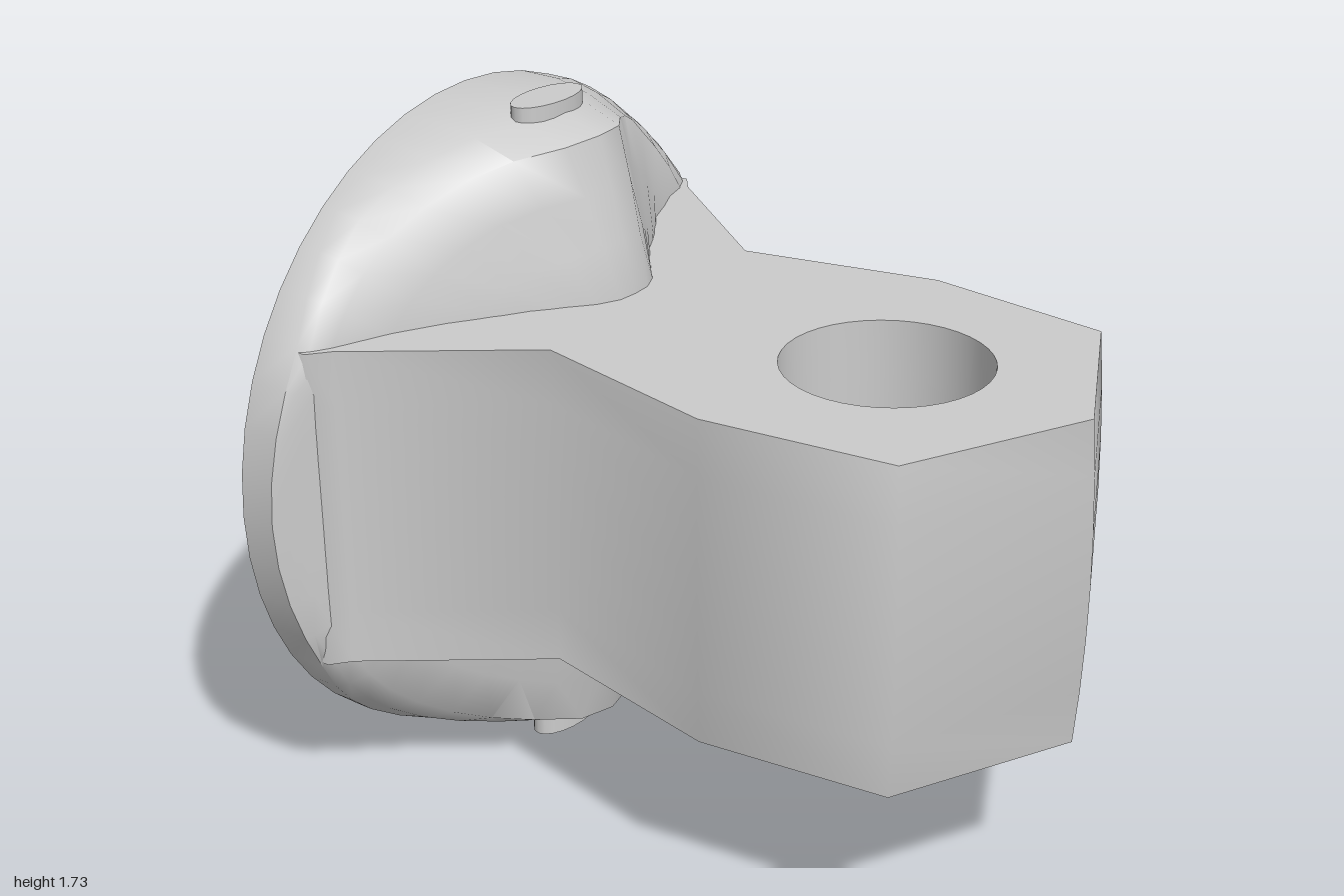
import * as THREE from 'three';
import { toCreasedNormals } from 'three/addons/utils/BufferGeometryUtils.js';

const MID = 0.87; // height of the shared axis
const material = new THREE.MeshStandardMaterial({ color: 0xcccccc });

function addPart(group, name, geometry, x = 0, y = 0, z = 0) {
  const mesh = new THREE.Mesh(geometry, material);
  mesh.name = name;
  mesh.position.set(x, y, z);
  group.add(mesh);
  return mesh;
}

// Depth of the flange's front across its width: a ridge falling to a thin rim
const ridge = [[0, -0.27], [0.08, -0.275], [0.25, -0.41], [0.5, -0.57], [0.7, -0.64], [0.86, -0.7]];
function ridgeDepth(x) {
  const ax = Math.min(Math.abs(x), 0.859);
  const i = ridge.findIndex(p => p[0] > ax);
  const [x0, z0] = ridge[i - 1], [x1, z1] = ridge[i];
  return z0 + (z1 - z0) * (ax - x0) / (x1 - x0);
}

// Round flange lofted from concentric rings: [radius, set back at the rim]
function flangeGeometry() {
  const rings = [[0, 0], [0.2, 0], [0.41, 0], [0.54, 0], [0.67, 0], [0.79, 0], [0.83, 0.1], [0.85, 0.2], [0.85, null], [0, null]];
  const sides = 48, pos = [], index = [];
  rings.forEach(([r, back]) => {
    for (let j = 0; j < sides; j++) {
      const a = j / sides * Math.PI * 2;
      const x = r * Math.cos(a), y = r * Math.sin(a);
      const fall = 0.1 * Math.max(0, Math.abs(y) - 0.41) / 0.38;
      const z = back === null ? -0.79
        : Math.max(-0.76, ridgeDepth(x) - fall - back * Math.abs(Math.sin(a)) ** 3);
      pos.push(x, y, z);
    }
  });
  for (let i = 0; i < rings.length - 1; i++) {
    for (let j = 0; j < sides; j++) {
      const k = (j + 1) % sides;
      const a = i * sides + j, b = a + sides, c = (i + 1) * sides + k, d = i * sides + k;
      if (rings[i + 1][0] > 0) index.push(a, b, c);
      if (rings[i][0] > 0) index.push(a, c, d);
    }
  }
  const g = new THREE.BufferGeometry();
  g.setAttribute('position', new THREE.Float32BufferAttribute(pos, 3));
  g.setIndex(index);
  return toCreasedNormals(g, 0.8);
}

// Waisted lug with a vertical bore, its walls bowed slightly outwards
function lugGeometry() {
  const half = [[0, 0.98], [0.445, 0.76], [0.5, 0.28], [0.39, -0.22], [0.69, -0.62], [0.74, -0.66], [0.74, -0.76]];
  const outline = [...half, ...half.slice(1).reverse().map(([x, z]) => [-x, z])];
  const shape = new THREE.Shape(outline.map(([x, z]) => new THREE.Vector2(x, -z)));
  const bore = new THREE.Path();
  bore.absarc(0, -0.45, 0.25, 0, Math.PI * 2, true);
  shape.holes.push(bore);
  const height = 0.82;
  const g = new THREE.ExtrudeGeometry(shape, { depth: height, steps: 6, curveSegments: 20, bevelEnabled: false });
  g.rotateX(-Math.PI / 2);
  const p = g.attributes.position;
  for (let i = 0; i < p.count; i++) {
    const x = p.getX(i), z = p.getZ(i), t = p.getY(i) / height * 2 - 1;
    if (z < 0 || Math.hypot(x, z - 0.45) < 0.26) continue;
    const bow = 1 + 0.025 * (1 - t * t);
    p.setX(i, x * bow);
    p.setZ(i, z * (1 + (bow - 1) * 0.8));
  }
  return toCreasedNormals(g, 1.1);
}

export function createModel() {
  const group = new THREE.Group();
  group.name = 'pivotFitting';

  addPart(group, 'flange', flangeGeometry(), 0, MID, 0);
  addPart(group, 'lug', lugGeometry(), 0, 0.46, 0);

  // Round stub on the back
  const stub = new THREE.CylinderGeometry(0.25, 0.25, 0.23, 24).rotateX(Math.PI / 2);
  addPart(group, 'rearStub', stub, 0, MID, -0.885);

  // Flattened pin ends above and below
  for (const [name, y] of [['topPin', 1.69], ['bottomPin', 0.04]]) {
    const pin = new THREE.CylinderGeometry(0.118, 0.118, 0.08, 20).scale(1, 1, 0.48);
    addPart(group, name, pin, 0, y, -0.53);
  }
  return group;
}
